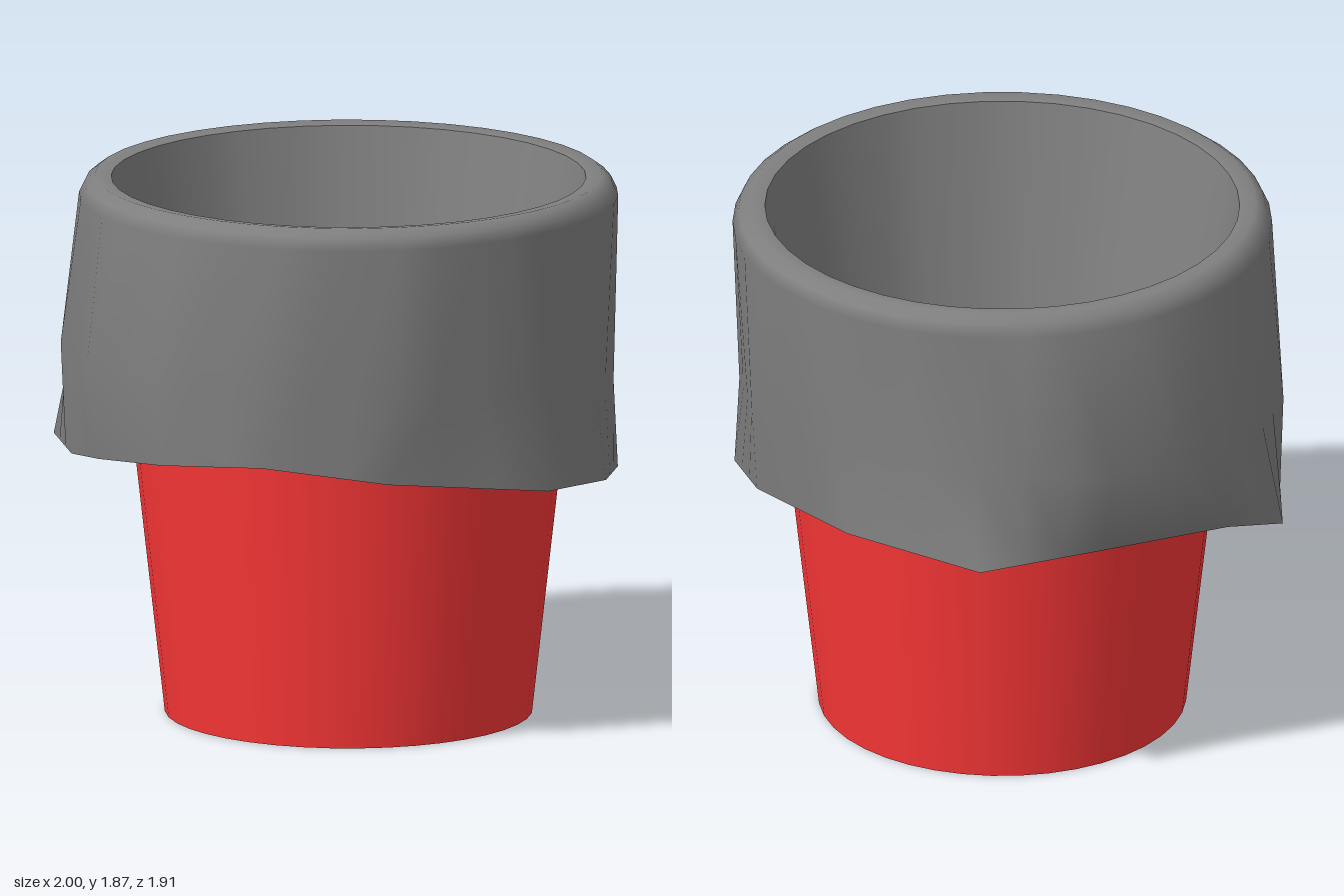
import * as THREE from 'three';

const SUB = 3; // columns between two bag corners
const CX = 0.065, CZ = 0.025; // bucket axis

// Corners of the bag, from the front (+z) towards +x: lower hem, then middle folds
const HEM = [
  [0, 1.03, 0.94], [0.42, 0.975, 0.84], [0.89, 0.905, 0.49], [0.995, 0.87, 0.11], [0.95, 0.845, -0.22],
  [0.75, 0.91, -0.52], [0.28, 0.98, -0.87], [-0.24, 0.965, -0.96], [-0.56, 0.95, -0.61], [-0.87, 0.93, -0.25],
  [-1, 0.885, -0.07], [-0.84, 0.9, 0.3], [-0.67, 0.95, 0.58], [-0.38, 1, 0.85],
];
const MID = [
  [0, 1.3, 0.95], [0.46, 1.28, 0.85], [0.83, 1.25, 0.53], [0.95, 1.15, 0.18], [0.94, 1.15, -0.2],
  [0.75, 1.25, -0.57], [0.38, 1.3, -0.82], [0, 1.3, -0.89], [-0.53, 1.3, -0.8], [-0.8, 1.25, -0.5],
  [-0.93, 1.25, -0.18], [-0.92, 1.25, 0.14], [-0.7, 1.3, 0.62], [-0.4, 1.3, 0.86],
];
const N = HEM.length * SUB;

// Closed ring through corner points, with straight runs between them
function cornerRing(corners) {
  return Array.from({ length: N }, (_, i) => {
    const k = Math.floor(i / SUB);
    const a = new THREE.Vector3(...corners[k]);
    const b = new THREE.Vector3(...corners[(k + 1) % corners.length]);
    return a.lerp(b, (i % SUB) / SUB);
  });
}

// Round ring about the bucket axis
function roundRing(r, y) {
  return Array.from({ length: N }, (_, i) => {
    const a = (i / N) * Math.PI * 2;
    return new THREE.Vector3(CX + r * Math.sin(a), y, CZ + r * Math.cos(a));
  });
}

// Join rings into one smooth surface
function loft(rings) {
  const index = [];
  for (let j = 0; j < rings.length - 1; j++) {
    for (let i = 0; i < N; i++) {
      const a = j * N + i, b = j * N + ((i + 1) % N);
      index.push(a, b, b + N, a, b + N, a + N);
    }
  }
  const geo = new THREE.BufferGeometry().setFromPoints(rings.flat());
  geo.setIndex(index);
  geo.computeVertexNormals();
  return geo;
}

export function createModel() {
  const group = new THREE.Group();
  const red = new THREE.MeshStandardMaterial({ color: 0xfc3737, side: THREE.DoubleSide });
  const grey = new THREE.MeshStandardMaterial({ color: 0x808080, side: THREE.DoubleSide });

  function add(name, geometry, material) {
    const mesh = new THREE.Mesh(geometry, material);
    mesh.name = name;
    group.add(mesh);
  }

  // Tapered bucket, open at the top
  add('bucketWall', new THREE.CylinderGeometry(0.83, 0.628, 1.8, 40, 1, true).translate(CX, 0.9, CZ), red);
  add('bucketBase', new THREE.CircleGeometry(0.628, 40).rotateX(Math.PI / 2).translate(CX, 0, CZ), red);

  // Bag folded over the rim: uneven hem, creased middle, rounded top
  add('bagCuff', loft([
    cornerRing(HEM),
    cornerRing(MID),
    roundRing(0.92, 1.8),
    roundRing(0.9, 1.842),
    roundRing(0.865, 1.868),
    roundRing(0.81, 1.86),
  ]), grey);

  // Bag lining inside the bucket, with a many-sided floor
  const floor = HEM.map((_, i) => {
    const a = (i / HEM.length) * Math.PI * 2;
    return [0.08 + 0.505 * Math.sin(a), 0.1, 0.04 + 0.505 * Math.cos(a)];
  });
  add('bagLining', loft([roundRing(0.81, 1.86), cornerRing(floor)]), grey);
  add('bagFloor', new THREE.CircleGeometry(0.505, HEM.length)
    .rotateZ(Math.PI / 2).rotateX(-Math.PI / 2).translate(0.08, 0.1, 0.04), grey);

  return group;
}
